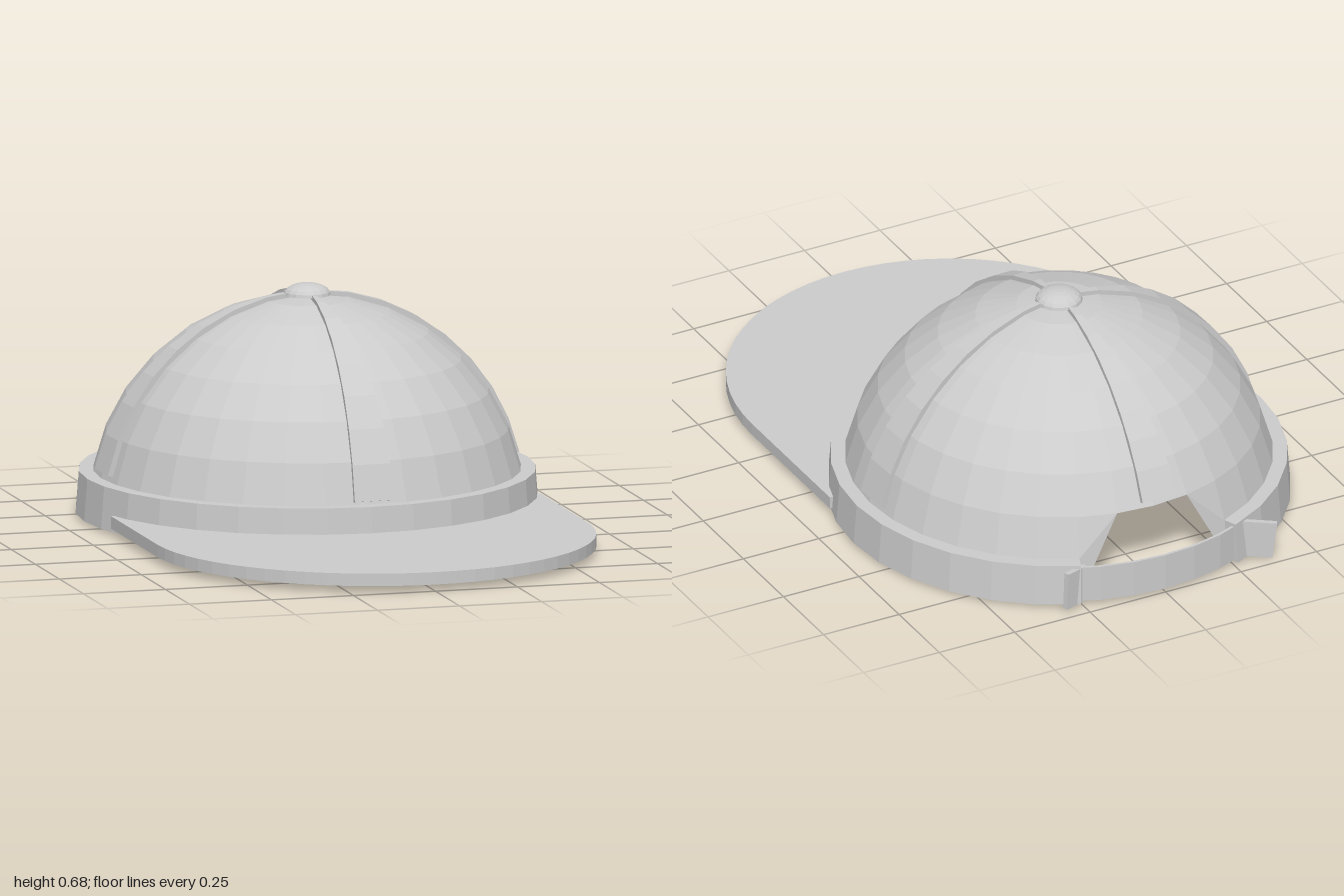
import * as THREE from 'three';
import { mergeGeometries } from 'three/addons/utils/BufferGeometryUtils.js';

const HEAD_Z = -0.335, BASE_Y = 0.015, R = 0.64;
const rad = THREE.MathUtils.degToRad;
const material = new THREE.MeshStandardMaterial({
  color: 0xcccccc, flatShading: true, side: THREE.DoubleSide,
});

function part(name, geometry, x = 0, y = 0, z = 0) {
  const mesh = new THREE.Mesh(geometry, material);
  mesh.name = name;
  mesh.position.set(x, y, z);
  return mesh;
}

// Turns a closed [radius, height] profile through part of a circle and caps both ends.
// Angle 0 is the front, 180 the back.
function arcSolid(profile, start, length, segments) {
  const points = profile.map(([r, y]) => new THREE.Vector2(r, y));
  const body = new THREE.LatheGeometry([...points, points[0]], segments, rad(start), rad(length));
  const caps = [start, start + length].map((a) =>
    new THREE.ShapeGeometry(new THREE.Shape(points)).rotateY(rad(a) - Math.PI / 2));
  return mergeGeometries([body, ...caps]);
}

// Half dome whose lower edge is lifted into an arch at the back
function crownGeometry() {
  const geometry = new THREE.SphereGeometry(R, 32, 8, 0, Math.PI * 2, 0, Math.PI / 2);
  const p = geometry.attributes.position;
  for (let i = 0; i < p.count; i++) {
    const x = p.getX(i), y = p.getY(i), z = p.getZ(i);
    const fromBack = Math.abs(Math.atan2(x, -z));
    if (fromBack > rad(15) || y > R * Math.sin(rad(22))) continue;
    const lat = rad(22.5), flat = Math.hypot(x, z);
    const k = R * Math.cos(lat) / flat;
    p.setXYZ(i, x * k, R * Math.sin(lat), z * k);
  }
  return geometry;
}

// Thin wedge following the dome from near the pole down to a given latitude
function seamGeometry(angle, lowest) {
  const outer = [], inner = [];
  for (let i = 0; i <= 8; i++) {
    const lat = rad(lowest + (88 - lowest) * i / 8);
    outer.push([0.653 * Math.cos(lat), 0.653 * Math.sin(lat)]);
    inner.unshift([0.63 * Math.cos(lat), 0.63 * Math.sin(lat)]);
  }
  return arcSolid([...outer, ...inner], angle - 5.5, 11, 1);
}

// Flat brim with a round front and a cut-out for the head
function visorGeometry() {
  const w = 0.655, back = -0.14, a = Math.asin((back - HEAD_Z) / R);
  const shape = new THREE.Shape();
  shape.moveTo(w, back);
  shape.lineTo(w, 0.345);
  shape.absarc(0, 0.345, w, 0, Math.PI, false);
  shape.lineTo(-w, back);
  shape.absarc(0, HEAD_Z, R, Math.PI - a, a, true);
  return new THREE.ExtrudeGeometry(shape, { depth: 0.037, bevelEnabled: false, curveSegments: 16 })
    .rotateX(Math.PI / 2);
}

export function createModel() {
  const cap = new THREE.Group();
  cap.name = 'cap';

  cap.add(part('crown', crownGeometry(), 0, BASE_Y, HEAD_Z));
  cap.add(part('visor', visorGeometry(), 0, 0.063, 0));

  // Four seam strips, slightly turned
  const seams = new THREE.Group();
  seams.name = 'seamStrips';
  [['front', 0, 12], ['left', 90, 13], ['back', 180, 24], ['right', 270, 13]].forEach(([side, a, low]) =>
    seams.add(part(side + 'Seam', seamGeometry(a + 1.8, low), 0, BASE_Y, HEAD_Z)));
  cap.add(seams);

  // Button on top
  const button = new THREE.SphereGeometry(0.07, 16, 6, 0, Math.PI * 2, 0, Math.PI / 2).scale(1, 0.5, 1);
  cap.add(part('button', button, 0, 0.655, HEAD_Z));

  // Headband, open at the back
  const band = [[0.63, 0.015], [0.68, 0.015], [0.67, 0.14], [0.625, 0.14]];
  cap.add(part('headband', arcSolid(band, -157.5, 315, 28), 0, 0, HEAD_Z));

  // Thin adjusting strap across the opening
  const strap = [[0.656, 0.018], [0.665, 0.018], [0.665, 0.13], [0.656, 0.13]];
  cap.add(part('strap', arcSolid(strap, 154, 52, 6), 0, 0, HEAD_Z));

  // Tabs where the strap meets the band
  for (const s of [-1, 1]) {
    const length = s < 0 ? 0.16 : 0.08, a = rad(s < 0 ? 27 : 24);
    const tab = part(s < 0 ? 'rightTab' : 'leftTab', new THREE.BoxGeometry(length, 0.115, 0.016),
      s * 0.674 * Math.sin(a), 0.073, HEAD_Z - 0.674 * Math.cos(a));
    tab.rotation.set(0, s * (a - rad(4)), s * rad(s < 0 ? -7 : 3));
    cap.add(tab);
  }
  return cap;
}
